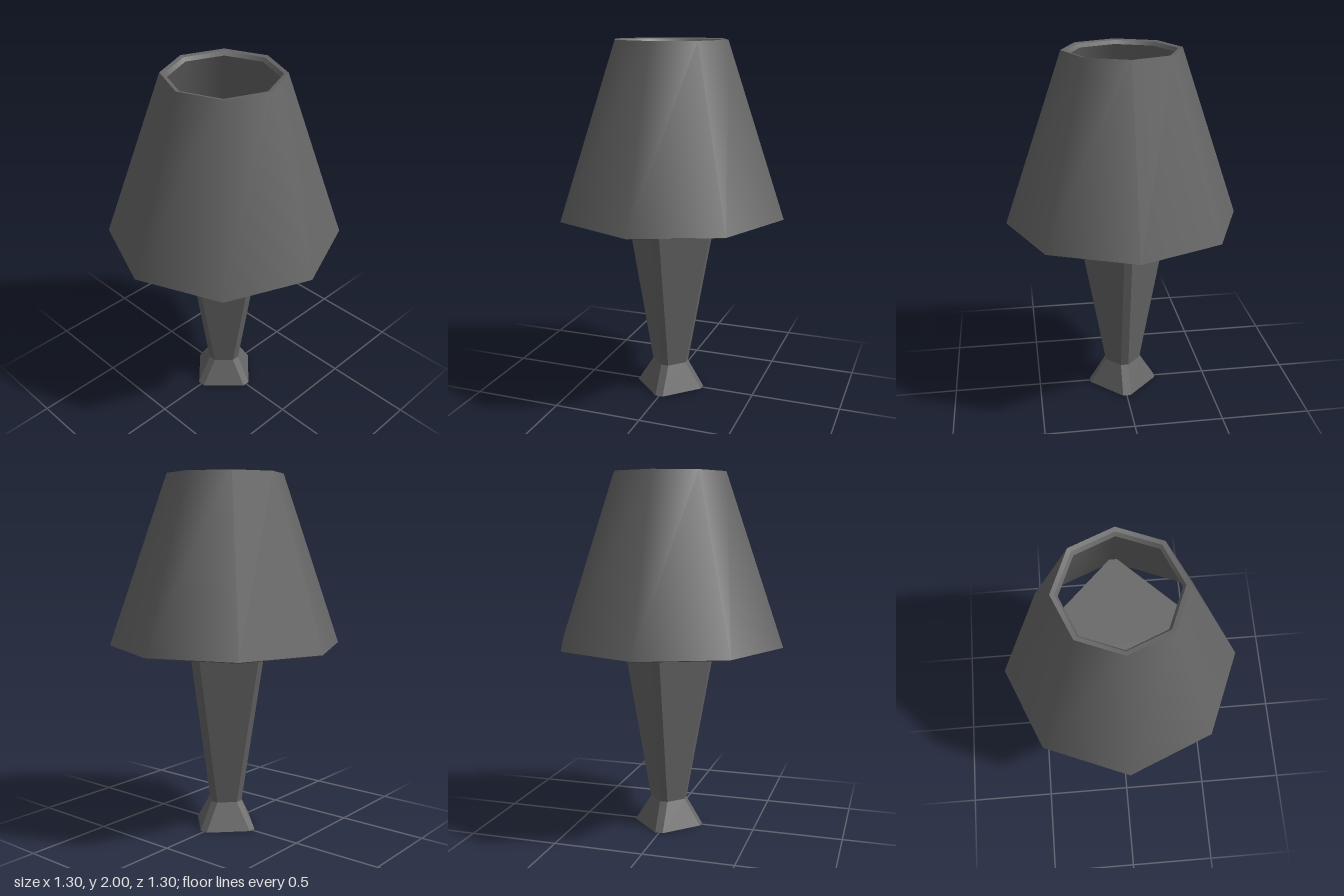
import * as THREE from 'three';

const smooth = new THREE.MeshStandardMaterial({ color: 0x656565, side: THREE.DoubleSide });
const flat = new THREE.MeshStandardMaterial({ color: 0x656565, flatShading: true });

// Square column set cornerwise, with narrow chamfers of constant width.
// Each level is [half diagonal, height].
function chamferedColumn(levels, c) {
  const pos = [], index = [];
  const ring = ([r, y]) => [
    [r, -c], [r, c], [c, r], [-c, r], [-r, c], [-r, -c], [-c, -r], [c, -r],
  ].forEach(([x, z]) => pos.push(x, y, z));
  levels.forEach(ring);
  for (let l = 0; l < levels.length - 1; l++) {
    for (let i = 0; i < 8; i++) {
      const a = l * 8 + i, b = l * 8 + (i + 1) % 8;
      index.push(a, a + 8, b, b, a + 8, b + 8);
    }
  }
  // Bottom and top caps
  const t = (levels.length - 1) * 8;
  for (let i = 1; i < 7; i++) {
    index.push(0, i, i + 1);
    index.push(t, t + i + 1, t + i);
  }
  const g = new THREE.BufferGeometry();
  g.setAttribute('position', new THREE.Float32BufferAttribute(pos, 3));
  g.setIndex(index);
  const out = g.toNonIndexed();
  out.computeVertexNormals();
  return out;
}

// One open eight-sided band between two [radius, height] rings
function band([r0, y0], [r1, y1]) {
  const g = new THREE.CylinderGeometry(r1, r0, y1 - y0, 8, 1, true);
  g.translate(0, (y0 + y1) / 2, 0);
  return g;
}

export function createModel() {
  const group = new THREE.Group();
  const add = (name, geometry, material, parent = group) => {
    const mesh = new THREE.Mesh(geometry, material);
    mesh.name = name;
    parent.add(mesh);
  };

  // Flared foot, tapering stem and wide head hidden in the shade
  add('lampBase', chamferedColumn([
    [0.196, 0], [0.101, 0.152], [0.294, 1.23], [0.495, 1.34],
  ], 0.022), flat);

  // Thick-walled shade, open at both ends
  const shade = new THREE.Group();
  shade.name = 'lampShade';
  group.add(shade);
  const outerLow = [0.648, 1.057], outerTop = [0.322, 2];
  const innerLow = [0.627, 1.05], innerTop = [0.285, 1.975], lip = [0.299, 1.995];
  add('shadeOuter', band(outerLow, outerTop), smooth, shade);
  add('shadeInner', band(innerLow, innerTop), smooth, shade);
  add('shadeLowerRim', band(innerLow, outerLow), smooth, shade);
  add('shadeUpperRim', band(lip, outerTop), smooth, shade);
  add('shadeInnerLip', band(innerTop, lip), smooth, shade);

  return group;
}
